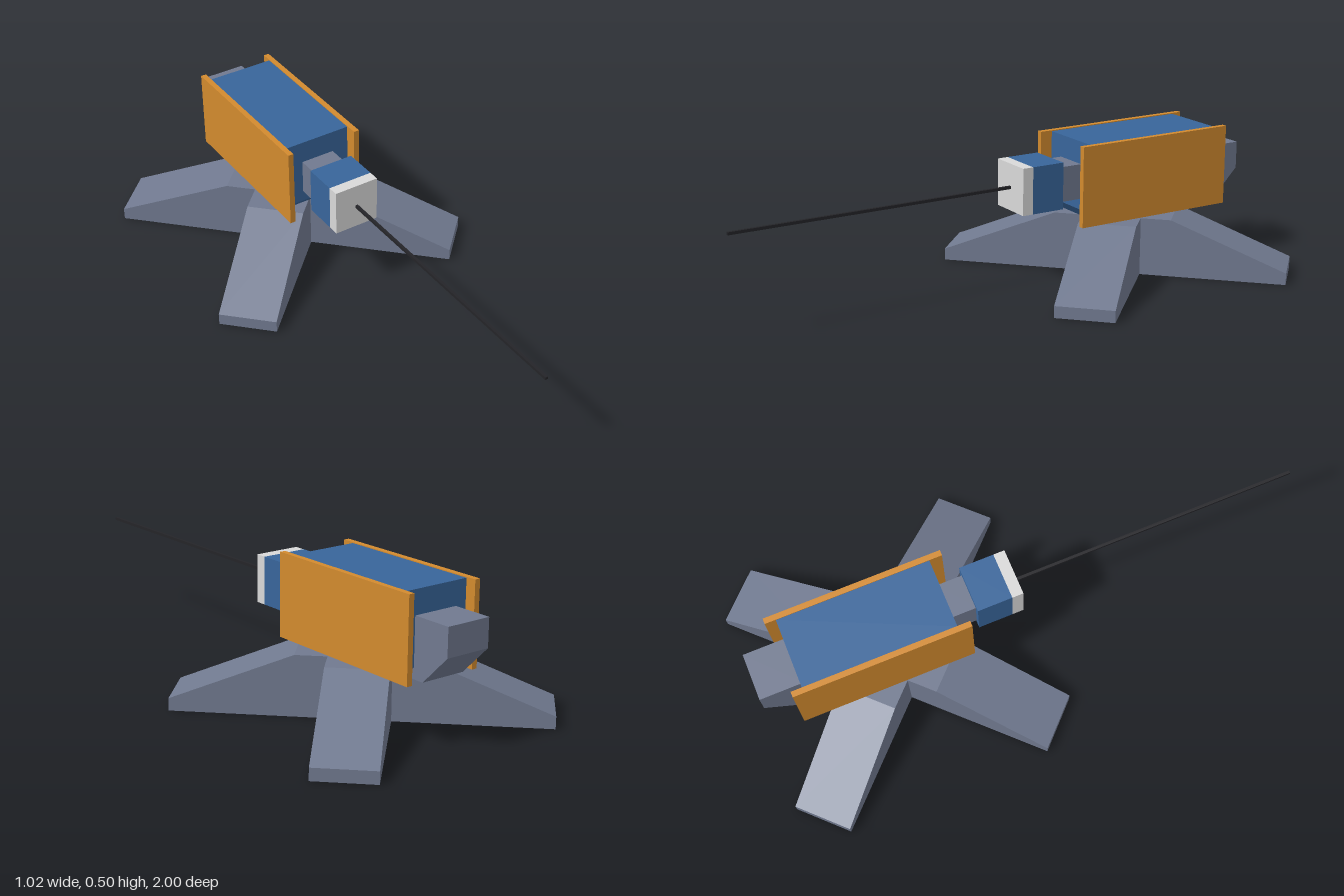
import * as THREE from 'three';

const mat = (name, color, side = THREE.FrontSide) => {
  const m = new THREE.MeshStandardMaterial({ color, side });
  m.name = name;
  return m;
};

// Extrude a closed side profile of [z, y] points across a width centred on x = 0
function profileGeometry(points, width) {
  const shape = new THREE.Shape(points.map(([z, y]) => new THREE.Vector2(-z, y)));
  const geo = new THREE.ExtrudeGeometry(shape, { depth: width, bevelEnabled: false });
  geo.translate(0, 0, -width / 2);
  geo.rotateY(Math.PI / 2);
  return geo;
}

// Remove the faces lying on the ground, leaving an open shell
function openBottom(geo) {
  const src = geo.toNonIndexed === undefined || !geo.index ? geo : geo.toNonIndexed();
  const p = src.attributes.position;
  const kept = [];
  for (let i = 0; i < p.count; i += 3) {
    const grounded = [0, 1, 2].every((k) => p.getY(i + k) < 1e-4);
    if (grounded) continue;
    for (let k = 0; k < 3; k++) kept.push(p.getX(i + k), p.getY(i + k), p.getZ(i + k));
  }
  const out = new THREE.BufferGeometry();
  out.setAttribute('position', new THREE.Float32BufferAttribute(kept, 3));
  out.computeVertexNormals();
  return out;
}

export function createModel() {
  const model = new THREE.Group();
  model.name = 'sentryTurret';

  const steel = mat('slate grey', 0x70798f);
  const steelShell = mat('slate grey shell', 0x70798f, THREE.DoubleSide);
  const blue = mat('blue', 0x38659a);
  const orange = mat('orange', 0xd28a2e);
  const white = mat('light grey', 0xd9d9d9);
  const black = mat('near black', 0x242428);

  const add = (name, geo, material) => {
    const mesh = new THREE.Mesh(geo, material);
    mesh.name = name;
    model.add(mesh);
    return mesh;
  };
  // Box from its limits
  const box = (name, material, x0, x1, y0, y1, z0, z1) =>
    add(name, new THREE.BoxGeometry(x1 - x0, y1 - y0, z1 - z0)
      .translate((x0 + x1) / 2, (y0 + y1) / 2, (z0 + z1) / 2), material);

  // Crossed legs: two hollow tapered beams
  const legProfile = [
    [0.618, 0], [0.618, 0.042], [0.209, 0.208],
    [-0.209, 0.208], [-0.618, 0.042], [-0.618, 0],
  ];
  for (const side of [1, -1]) {
    const beam = add('crossedLegs', openBottom(profileGeometry(legProfile, 0.205)), steelShell);
    beam.rotation.y = side * Math.PI / 4;
    beam.position.z = -0.488;
  }

  // Main body with bevelled lower edges
  add('body', profileGeometry([
    [-0.285, 0.25], [-0.285, 0.495], [-0.822, 0.495],
    [-0.822, 0.25], [-0.782, 0.21], [-0.325, 0.21],
  ], 0.25), blue);

  // Side armour
  for (const s of [1, -1]) {
    const plate = box('sidePanel', orange, -0.01, 0.01, 0.21, 0.498, -0.86, -0.24);
    plate.position.x = s * 0.134;
  }

  // Rear pack with a sloping underside
  add('rearPack', profileGeometry([
    [-0.81, 0.212], [-0.81, 0.413], [-0.965, 0.413], [-0.965, 0.315], [-0.862, 0.212],
  ], 0.166), steel);

  // Gun head, muzzle and sighting rod
  box('neck', steel, -0.0625, 0.0625, 0.29, 0.415, -0.29, -0.195);
  box('gunHead', blue, -0.083, 0.083, 0.27, 0.437, -0.198, -0.075);
  box('muzzle', white, -0.083, 0.083, 0.27, 0.437, -0.075, -0.035);
  box('rod', black, -0.005, 0.005, 0.348, 0.358, -0.04, 1);

  return model;
}
